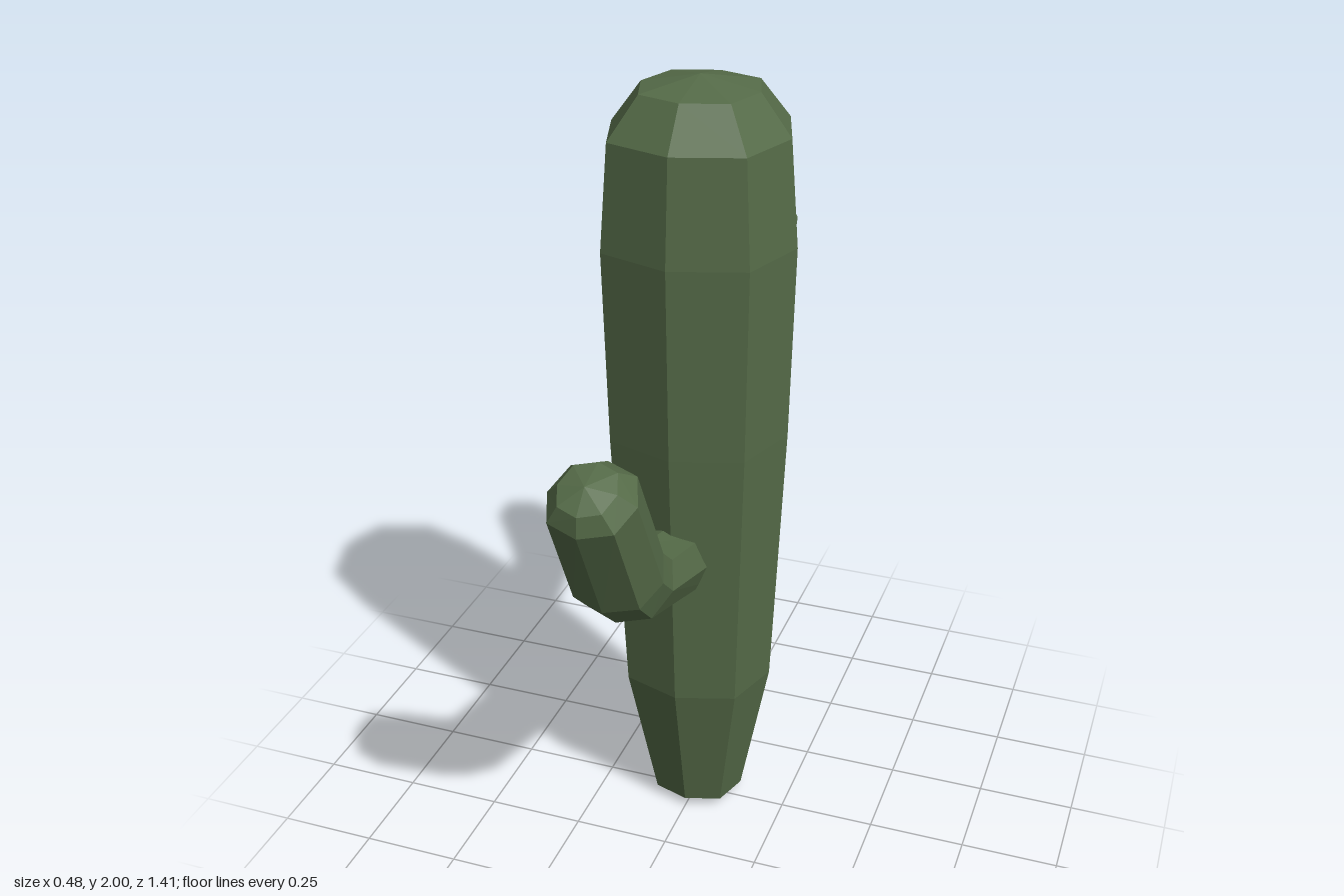
import * as THREE from 'three';

const SIDES = 8;

// Faceted copy with one normal per face
function faceted(geometry) {
  const g = geometry.toNonIndexed();
  g.computeVertexNormals();
  return g;
}

// Octagonal trunk, slightly fuller on its diagonals
function trunkGeometry() {
  const profile = [
    [0, 0], [0.12, 0.025], [0.195, 0.41], [0.228, 1.12],
    [0.24, 1.61], [0.22, 1.87], [0.145, 1.97], [0, 2],
  ].map(([r, y]) => new THREE.Vector2(r, y));
  const g = new THREE.LatheGeometry(profile, SIDES);
  const p = g.attributes.position;
  for (let i = 0; i < p.count; i++) {
    const x = p.getX(i), z = p.getZ(i);
    const k = Math.abs(x * z) > 1e-4 ? 1.07 : 1;
    p.setXYZ(i, x * k, p.getY(i), z * k);
  }
  return faceted(g);
}

// Bent arm: each ring is [inner z, inner y, outer z, outer y, half width];
// dir is +1 for an arm at the front, -1 for one at the back
function armGeometry(rings, dir) {
  const pos = [], index = [];
  for (const [iz, iy, oz, oy, w] of rings) {
    for (let s = 0; s < SIDES; s++) {
      const a = (s / SIDES) * Math.PI * 2;
      const k = s % 2 ? 1.05 : 1;
      const c = Math.cos(a) * k / 2;
      pos.push(
        dir * Math.sin(a) * k * w,
        (iy + oy) / 2 + c * (iy - oy),
        dir * ((iz + oz) / 2 + c * (iz - oz)),
      );
    }
  }
  for (let r = 0; r < rings.length - 1; r++) {
    for (let s = 0; s < SIDES; s++) {
      const a = r * SIDES + s, b = r * SIDES + (s + 1) % SIDES;
      index.push(a, a + SIDES, b, b, a + SIDES, b + SIDES);
    }
  }
  const g = new THREE.BufferGeometry();
  g.setAttribute('position', new THREE.Float32BufferAttribute(pos, 3));
  g.setIndex(index);
  return faceted(g);
}

export function createModel() {
  const cactusGreen = new THREE.MeshStandardMaterial({ color: 0x556b48, flatShading: true });
  cactusGreen.name = 'cactusGreen';

  const group = new THREE.Group();
  group.name = 'cactus';
  const add = (name, geometry, x, z) => {
    const mesh = new THREE.Mesh(geometry, cactusGreen);
    mesh.name = name;
    mesh.position.set(x, 0, z);
    group.add(mesh);
  };

  add('trunk', trunkGeometry(), 0, -0.03);

  // Lower arm: root, two elbow rings, shoulder of the tip, cap, apex
  add('frontArm', armGeometry([
    [0.08, 0.89, 0.08, 0.70, 0.105],
    [0.31, 0.95, 0.50, 0.845, 0.108],
    [0.37, 1.00, 0.58, 0.92, 0.11],
    [0.52, 1.28, 0.71, 1.185, 0.106],
    [0.575, 1.305, 0.705, 1.235, 0.07],
    [0.655, 1.285, 0.655, 1.285, 0],
  ], 1), -0.022, 0);

  // Higher, slimmer arm
  add('backArm', armGeometry([
    [0.16, 1.19, 0.16, 1.03, 0.09],
    [0.39, 1.243, 0.505, 1.143, 0.093],
    [0.425, 1.28, 0.58, 1.20, 0.095],
    [0.55, 1.505, 0.705, 1.415, 0.09],
    [0.595, 1.533, 0.70, 1.475, 0.06],
    [0.655, 1.515, 0.655, 1.515, 0],
  ], -1), -0.022, 0);

  return group;
}
